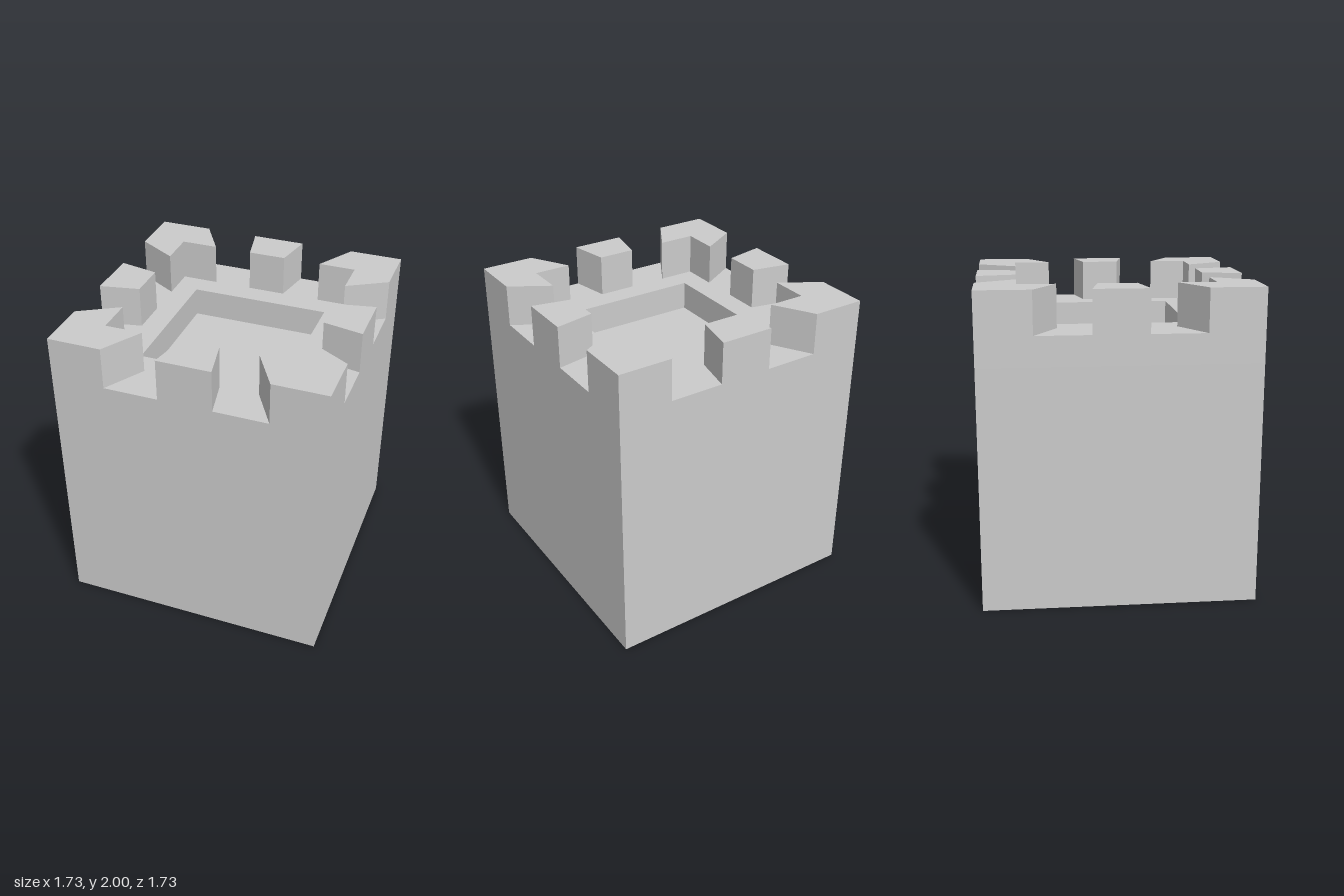
import * as THREE from 'three';

const HALF = 0.865;   // outer half width
const INNER = 0.61;   // inner edge of the battlements
const PIT = 0.46;     // half width of the sunken floor
const FLOOR = 1.54, WALK = 1.73, TOP = 2;

const material = new THREE.MeshStandardMaterial({ color: 0xcccccc, flatShading: true });

const points = (list) => list.map(([x, y]) => new THREE.Vector2(x, y));
const square = (h) => points([[-h, -h], [h, -h], [h, h], [-h, h]]);

// Extrudes a plan outline upwards from y0 to y1
function prism(name, outline, y0, y1, hole) {
  const shape = new THREE.Shape(outline);
  if (hole) shape.holes.push(new THREE.Path(hole));
  const geometry = new THREE.ExtrudeGeometry(shape, { depth: y1 - y0, bevelEnabled: false });
  geometry.rotateX(-Math.PI / 2).translate(0, y0, 0);
  const mesh = new THREE.Mesh(geometry, material);
  mesh.name = name;
  return mesh;
}

export function createModel() {
  const tower = new THREE.Group();
  tower.name = 'castleTower';

  // Solid block up to the sunken floor, then the walkway around it
  tower.add(prism('towerBody', square(HALF), 0, FLOOR));
  tower.add(prism('walkway', square(HALF), FLOOR, WALK, square(PIT)));

  // L-shaped corner and tapered middle battlements, repeated on each side
  const corner = points([[HALF, HALF], [0.52, HALF], [0.37, INNER],
    [INNER, INNER], [INNER, 0.37], [HALF, 0.52]]);
  const middle = points([[-0.173, HALF], [-0.122, INNER], [0.122, INNER], [0.173, HALF]]);
  for (let i = 0; i < 4; i++) {
    const side = new THREE.Group();
    side.name = `battlements${i + 1}`;
    side.add(prism('cornerMerlon', corner, WALK, TOP), prism('middleMerlon', middle, WALK, TOP));
    side.rotation.y = i * Math.PI / 2;
    tower.add(side);
  }
  return tower;
}
